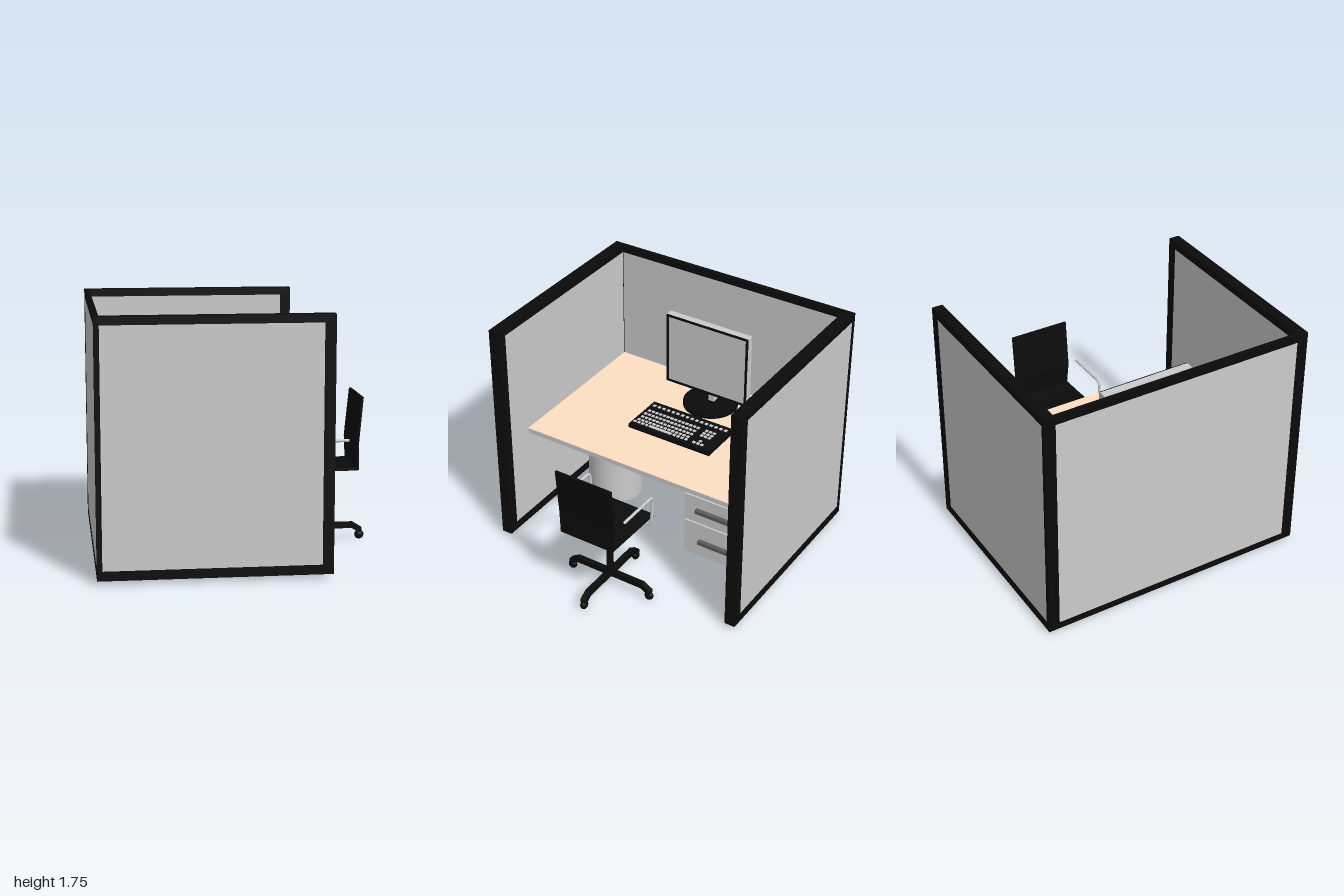
import * as THREE from 'three';

const mat = (color, extra = {}) => new THREE.MeshStandardMaterial({ color, ...extra });
const grey = mat(0xcccccc);
const greyOpen = mat(0xcccccc, { side: THREE.DoubleSide });
const black = mat(0x0b0b0b);
const tan = mat(0xfde0c4);
const darkGrey = mat(0x5c5c5c);

function add(parent, name, geometry, material, x = 0, y = 0, z = 0) {
  const mesh = new THREE.Mesh(geometry, material);
  mesh.name = name;
  mesh.position.set(x, y, z);
  parent.add(mesh);
  return mesh;
}

// Box given by its lowest and highest corner
function box(parent, name, material, [x0, y0, z0], [x1, y1, z1]) {
  return add(parent, name, new THREE.BoxGeometry(x1 - x0, y1 - y0, z1 - z0), material,
    (x0 + x1) / 2, (y0 + y1) / 2, (z0 + z1) / 2);
}

function cylinder(parent, name, material, rTop, rBottom, y0, y1, x, z, sides) {
  return add(parent, name, new THREE.CylinderGeometry(rTop, rBottom, y1 - y0, sides), material, x, (y0 + y1) / 2, z);
}

function group(parent, name) {
  const g = new THREE.Group();
  g.name = name;
  parent.add(g);
  return g;
}

// Polyline with rounded corners, for bent tubes
function bentPath(points, r) {
  const p = points.map(a => new THREE.Vector3(...a));
  const path = new THREE.CurvePath();
  let from = p[0];
  for (let i = 1; i < p.length - 1; i++) {
    const a = p[i].clone().add(p[i - 1].clone().sub(p[i]).setLength(r));
    const b = p[i].clone().add(p[i + 1].clone().sub(p[i]).setLength(r));
    path.add(new THREE.LineCurve3(from, a));
    path.add(new THREE.QuadraticBezierCurve3(a, p[i], b));
    from = b;
  }
  path.add(new THREE.LineCurve3(from, p[p.length - 1]));
  return path;
}

const vectors = points => points.map(p => new THREE.Vector2(...p));
const polygon = points => new THREE.Shape(vectors(points));

function buildWalls(root) {
  const walls = group(root, 'partitionWalls');
  // Side walls: dark frame around a slightly recessed panel
  for (const s of [-1, 1]) {
    const shape = polygon([[-0.99, 0.025], [0.575, 0.025], [0.575, 1.755], [-0.99, 1.755]]);
    shape.holes.push(new THREE.Path(vectors([[-0.955, 0.09], [-0.955, 1.7], [0.5, 1.7], [0.5, 0.09]])));
    add(walls, 'sideWallFrame', new THREE.ExtrudeGeometry(shape, { depth: 0.08, bevelEnabled: false }), black, 0, 0, s * 0.96 - 0.04);
    box(walls, 'sideWallPanel', grey, [-0.955, 0.09, s * 0.96 - 0.037], [0.5, 1.7, s * 0.96 + 0.037]);
  }
  // Back wall
  box(walls, 'backWallTopRail', black, [-0.99, 1.7, -0.92], [-0.955, 1.755, 0.92]);
  box(walls, 'backWallBottomRail', black, [-0.99, 0.025, -0.92], [-0.955, 0.075, 0.92]);
  box(walls, 'backWallPanel', grey, [-0.987, 0.075, -0.92], [-0.958, 1.7, 0.92]);
}

function buildDesk(root) {
  const desk = group(root, 'desk');
  box(desk, 'deskSlab', grey, [-0.957, 0.782, -0.922], [0.3, 0.815, 0.922]);
  box(desk, 'deskSurface', tan, [-0.957, 0.815, -0.922], [0.3, 0.82, 0.922]);
  // Drawer cabinet
  box(desk, 'drawerCabinet', grey, [-0.957, 0.265, -0.922], [0.285, 0.782, -0.41]);
  box(desk, 'upperDrawerFront', grey, [0.285, 0.565, -0.908], [0.298, 0.768, -0.418]);
  box(desk, 'lowerDrawerFront', grey, [0.285, 0.27, -0.908], [0.298, 0.542, -0.418]);
  box(desk, 'upperDrawerHandle', darkGrey, [0.298, 0.65, -0.815], [0.33, 0.677, -0.515]);
  box(desk, 'lowerDrawerHandle', darkGrey, [0.298, 0.388, -0.79], [0.33, 0.415, -0.54]);
}

function buildMonitor(root) {
  const monitor = group(root, 'monitor');
  cylinder(monitor, 'monitorBase', black, 0.205, 0.205, 0.825, 0.855, -0.685, -0.03, 40);
  box(monitor, 'monitorNeck', grey, [-0.733, 0.855, -0.06], [-0.68, 1.25, -0.012]);
  box(monitor, 'monitorHousing', grey, [-0.657, 0.965, -0.375], [-0.603, 1.53, 0.305]);
  // Tapered rear shell
  const rear = new THREE.CylinderGeometry(0.25 * Math.SQRT2, Math.SQRT1_2, 0.03, 4, 1).toNonIndexed();
  rear.rotateY(Math.PI / 4).rotateZ(Math.PI / 2).scale(1, 0.565, 0.68);
  rear.computeVertexNormals();
  add(monitor, 'monitorRearShell', rear, grey, -0.672, 1.2475, -0.035);
  // Bezel around the screen
  const b = 0.018;
  box(monitor, 'bezelTop', black, [-0.605, 1.53 - b, -0.375], [-0.598, 1.53, 0.305]);
  box(monitor, 'bezelBottom', black, [-0.605, 0.965, -0.375], [-0.598, 0.965 + b, 0.305]);
  box(monitor, 'bezelRight', black, [-0.605, 0.965 + b, -0.375], [-0.598, 1.53 - b, -0.375 + b]);
  box(monitor, 'bezelLeft', black, [-0.605, 0.965 + b, 0.305 - b], [-0.598, 1.53 - b, 0.305]);
}

function buildKeyboardAndMouse(root) {
  const keyboard = group(root, 'keyboard');
  box(keyboard, 'keyboardBody', black, [-0.43, 0.835, -0.377], [-0.085, 0.866, 0.303]);
  const key = (x, z, w = 0.022) => box(keyboard, 'key', grey, [x - 0.011, 0.864, z - w / 2], [x + 0.011, 0.872, z + w / 2]);
  // Top row
  for (let i = 0; i < 16; i++) key(-0.38, -0.34 + i * 0.0405);
  // Main block, with the space bar in its last row
  [-0.305, -0.258, -0.212, -0.17].forEach((x, r) => {
    for (let i = 0; i < 14; i++) key(x, -0.155 + i * 0.0322 + (r % 2) * 0.004);
  });
  for (let i = 0; i < 4; i++) {
    key(-0.135, -0.155 + i * 0.033);
    key(-0.135, 0.18 + i * 0.033);
  }
  key(-0.135, 0.062, 0.19);
  // Navigation and arrow clusters
  for (const x of [-0.305, -0.268, -0.235]) for (const z of [-0.29, -0.258, -0.226]) key(x, z);
  key(-0.17, -0.255);
  for (const z of [-0.288, -0.255, -0.222]) key(-0.135, z);

  // Mouse: outline extruded upwards
  const outline = polygon([[-0.295, 0.612], [-0.27, 0.64], [-0.18, 0.656], [-0.115, 0.628], [-0.11, 0.602], [-0.17, 0.564], [-0.26, 0.592]]);
  const mouse = new THREE.ExtrudeGeometry(outline, { depth: 0.028, bevelThickness: 0.015, bevelSize: 0.012, bevelOffset: -0.012, bevelSegments: 3 });
  add(root, 'mouse', mouse.rotateX(-Math.PI / 2), black, 0, 0.857, 0);
}

function buildBin(root) {
  const bin = group(root, 'wasteBin');
  add(bin, 'binSide', new THREE.CylinderGeometry(0.205, 0.205, 0.545, 28, 1, true), greyOpen, -0.32, 0.3175, 0.585);
  add(bin, 'binBottom', new THREE.CircleGeometry(0.205, 28).rotateX(Math.PI / 2), greyOpen, -0.32, 0.046, 0.585);
}

function buildChair(root) {
  const chair = group(root, 'officeChair');
  chair.position.x = 0.62;
  // Four-armed base on casters
  for (let i = 0; i < 4; i++) {
    const arm = group(chair, 'baseArm');
    arm.rotation.y = i * Math.PI / 2;
    const profile = polygon([[0, 0.085], [0.27, 0.085], [0.325, 0.05], [0.345, 0.06], [0.345, 0.085], [0.28, 0.126], [0, 0.126]]);
    add(arm, 'baseLeg', new THREE.ExtrudeGeometry(profile, { depth: 0.04, bevelEnabled: false }), black, 0, 0, -0.02);
    const caster = add(arm, 'caster', new THREE.SphereGeometry(0.034, 16, 12), black, 0.328, 0.034, 0);
    caster.scale.z = 0.75;
  }
  cylinder(chair, 'lowerColumn', black, 0.026, 0.026, 0.08, 0.31, 0, 0, 16);
  cylinder(chair, 'gasLift', grey, 0.015, 0.015, 0.31, 0.52, 0, 0, 16);
  cylinder(chair, 'seatMount', black, 0.072, 0.025, 0.505, 0.56, 0, 0, 20);

  // Seat and back: one bent sheet, slightly waisted
  const profile = polygon([[-0.22, 0.553], [-0.19, 0.557], [0.15, 0.552], [0.27, 0.553], [0.279, 0.56], [0.271, 0.73], [0.302, 1.08],
    [0.285, 1.08], [0.251, 0.73], [0.257, 0.572], [0.15, 0.57], [-0.19, 0.577], [-0.22, 0.573]]);
  const shell = new THREE.ExtrudeGeometry(profile, { depth: 0.45, bevelEnabled: false }).translate(0, 0, -0.225);
  const pos = shell.attributes.position;
  for (let i = 0; i < pos.count; i++) {
    if (pos.getX(i) > 0.1 && pos.getY(i) < 0.6) pos.setZ(i, pos.getZ(i) * 0.95);
  }
  shell.computeVertexNormals();
  add(chair, 'seatAndBack', shell, black);

  // Armrests: a single bent tube passing beneath the seat
  const half = s => [[0.195, 0.78, s * 0.262], [-0.15, 0.78, s * 0.262], [-0.15, 0.53, s * 0.252]];
  const path = bentPath([...half(1), ...half(-1).reverse()], 0.04);
  add(chair, 'armrestTube', new THREE.TubeGeometry(path, 120, 0.011, 8), greyOpen);
}

export function createModel() {
  const root = new THREE.Group();
  root.name = 'officeCubicle';
  buildWalls(root);
  buildDesk(root);
  buildMonitor(root);
  buildKeyboardAndMouse(root);
  buildBin(root);
  buildChair(root);
  return root;
}
